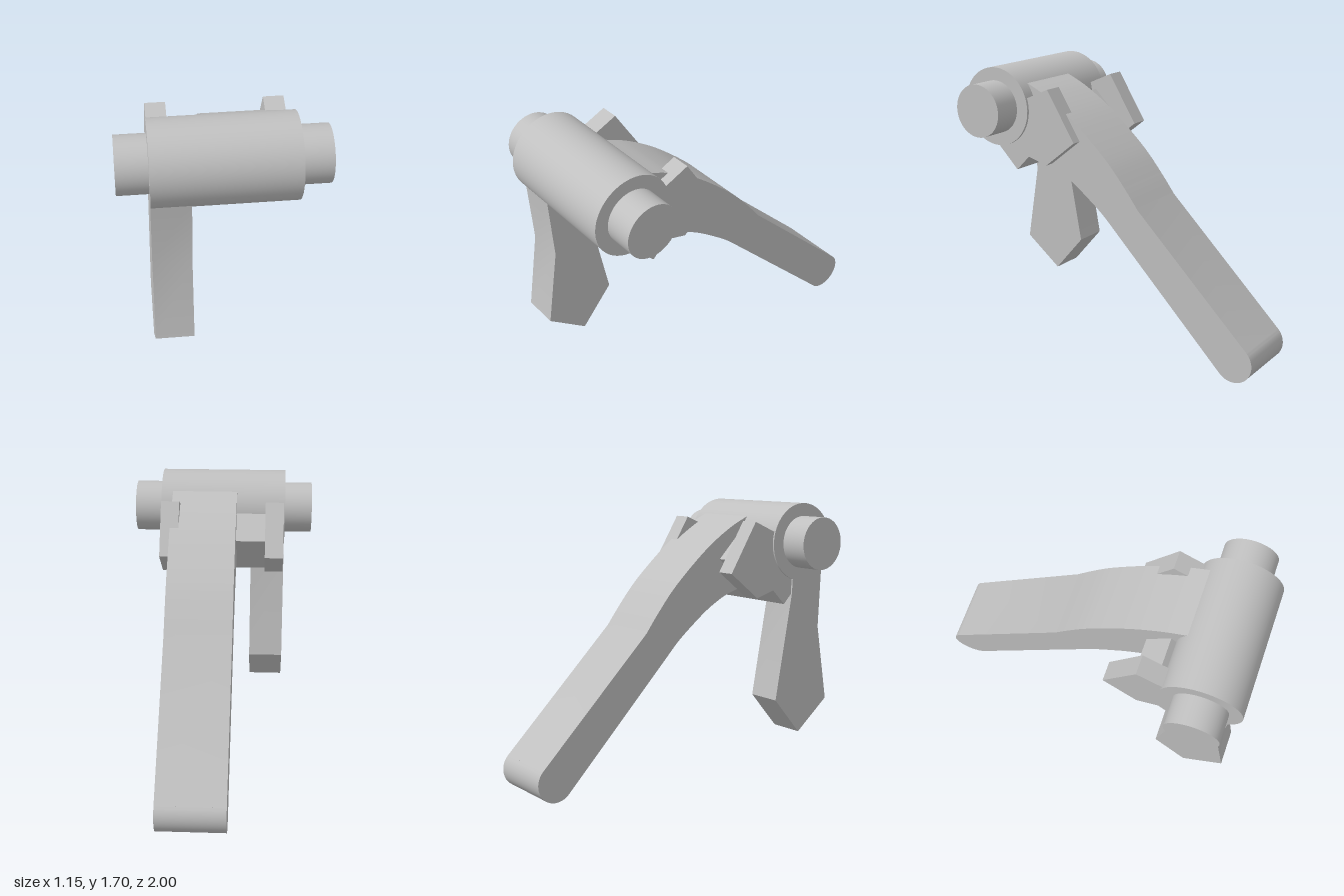
import * as THREE from 'three';
import { toCreasedNormals } from 'three/addons/utils/BufferGeometryUtils.js';

export function createModel() {
  const model = new THREE.Group();
  const metal = new THREE.MeshStandardMaterial({ color: 0xc0c0c0 });
  metal.name = 'light grey metal';

  const add = (name, geometry) => {
    const mesh = new THREE.Mesh(geometry, metal);
    mesh.name = name;
    model.add(mesh);
  };

  // Cylinder lying along x on the pivot axis
  const roller = (name, radius, length) => {
    const g = new THREE.CylinderGeometry(radius, radius, length, 64);
    g.rotateZ(Math.PI / 2).translate(0, 1.453, 0.758);
    add(name, g);
  };

  // Side profile in (z, y), extruded from x0 to x1
  const slab = (name, shape, x0, x1) => {
    const g = new THREE.ExtrudeGeometry(shape, { depth: x1 - x0, bevelEnabled: false, curveSegments: 20 });
    g.rotateY(-Math.PI / 2).translate(x1, 0, 0);
    add(name, toCreasedNormals(g, 0.4));
  };
  const polygon = (points) => new THREE.Shape(points.map(([z, y]) => new THREE.Vector2(z, y)));
  const vectors = (points) => points.map(([z, y]) => new THREE.Vector2(z, y));

  roller('barrel', 0.242, 0.8);
  roller('axle', 0.162, 1.15);

  // Hanging pawl with a pointed end
  slab('pawl', polygon([
    [0.935, 1.32], [0.915, 0.9], [1, 0.415], [0.76, 0.225], [0.555, 0.46], [0.678, 1.13], [0.69, 1.35],
  ]), -0.4, -0.18);

  // Tilted block joining the brackets under the barrel
  slab('crossBlock', polygon([[0.76, 1.21], [0.62, 1.07], [0.345, 1.345], [0.485, 1.485]]), -0.39, 0.385);

  // Pair of angular brackets
  const bracket = polygon([
    [0.53, 1.525], [0.373, 1.593], [0.185, 1.29], [0.394, 1.126], [0.53, 1.165], [0.62, 1.3],
  ]);
  slab('rightBracket', bracket, -0.39, -0.275);
  slab('leftBracket', bracket, 0.27, 0.385);

  // Curved lever arm with a rounded tip
  const lever = new THREE.Shape();
  lever.moveTo(0.57, 1.605);
  lever.splineThru(vectors([[0.44, 1.545], [0.287, 1.45], [0.142, 1.335], [-0.02, 1.185], [-0.14, 1.045], [-0.228, 0.93]]));
  lever.lineTo(-0.965, 0.205);
  lever.absarc(-0.88, 0.12, 0.12, Math.PI * 0.75, Math.PI * 1.75, false);
  lever.lineTo(-0.07, 0.77);
  lever.splineThru(vectors([[0.01, 0.85], [0.1, 0.925], [0.25, 1.035], [0.394, 1.112], [0.53, 1.16], [0.64, 1.25]]));
  slab('lever', lever, -0.09, 0.325);

  return model;
}
